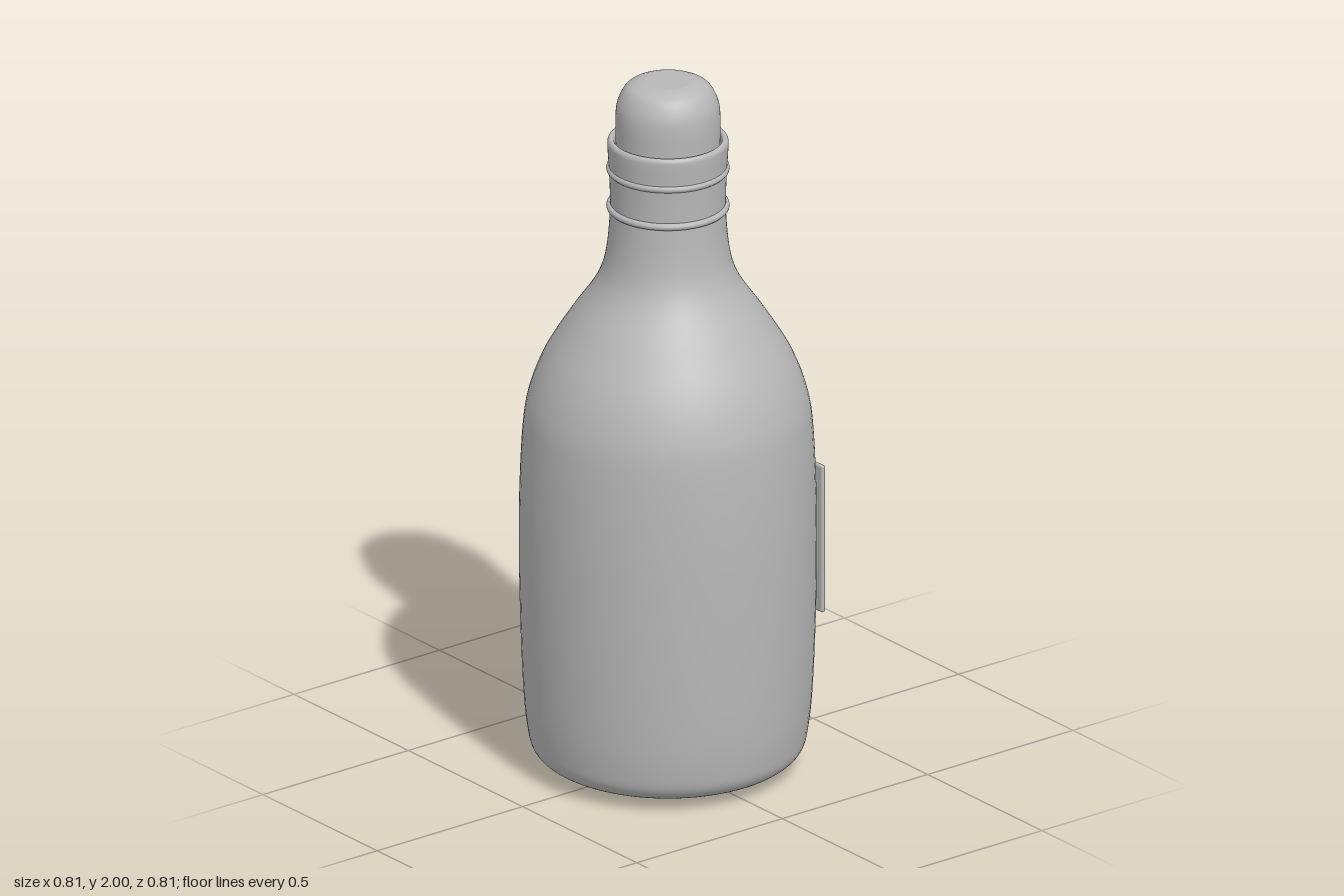
import * as THREE from 'three';
import { RoundedBoxGeometry } from 'three/addons/geometries/RoundedBoxGeometry.js';

const grey = new THREE.MeshStandardMaterial({ color: 0xb8b8b8 });
grey.name = 'grey';

// Smooth surface of revolution through a few [radius, height] points
function turned(name, points, steps) {
  const curve = new THREE.SplineCurve(points.map(([r, y]) => new THREE.Vector2(r, y)));
  const profile = curve.getPoints(steps);
  profile.forEach((p) => { p.x = Math.max(p.x, 0); p.y = Math.max(p.y, 0); });
  const mesh = new THREE.Mesh(new THREE.LatheGeometry(profile, 72), grey);
  mesh.name = name;
  return mesh;
}

function ring(name, radius, tube, y) {
  const mesh = new THREE.Mesh(new THREE.TorusGeometry(radius, tube, 12, 72), grey);
  mesh.rotation.x = Math.PI / 2;
  mesh.position.y = y;
  mesh.name = name;
  return mesh;
}

export function createModel() {
  const group = new THREE.Group();
  group.name = 'bottle';

  // Body with rounded base, sloping shoulder and slim neck
  group.add(turned('body', [
    [0, 0], [0.1, 0.008], [0.2, 0.011], [0.28, 0.018], [0.335, 0.035], [0.368, 0.065],
    [0.381, 0.12], [0.391, 0.22], [0.399, 0.4], [0.403, 0.6], [0.402, 0.8], [0.392, 1.0],
    [0.374, 1.1], [0.335, 1.2], [0.268, 1.31], [0.206, 1.4], [0.178, 1.46],
    [0.164, 1.53], [0.157, 1.62], [0.156, 1.7],
  ], 140));

  // Collar around the mouth, with a rounded lip turned inward
  group.add(turned('collar', [
    [0.156, 1.62], [0.158, 1.7], [0.161, 1.76], [0.164, 1.81],
    [0.163, 1.826], [0.156, 1.833], [0.147, 1.828], [0.142, 1.8],
  ], 50));
  group.add(ring('lowerRing', 0.157, 0.01, 1.635));
  group.add(ring('upperRing', 0.157, 0.01, 1.745));

  // Stopper with a domed edge and flat top
  group.add(turned('stopper', [
    [0.141, 1.78], [0.142, 1.84], [0.142, 1.9], [0.136, 1.94],
    [0.117, 1.977], [0.09, 1.994], [0.065, 2.0],
  ], 40));
  const top = new THREE.Mesh(new THREE.CircleGeometry(0.065, 72), grey);
  top.rotation.x = -Math.PI / 2;
  top.position.y = 2;
  top.name = 'stopperTop';
  group.add(top);

  // Label plate set through the back, its side edges standing proud
  const plate = new THREE.Mesh(new RoundedBoxGeometry(0.45, 0.43, 0.014, 3, 0.006), grey);
  plate.position.set(0, 0.635, -0.36);
  plate.name = 'backPlate';
  group.add(plate);

  return group;
}
